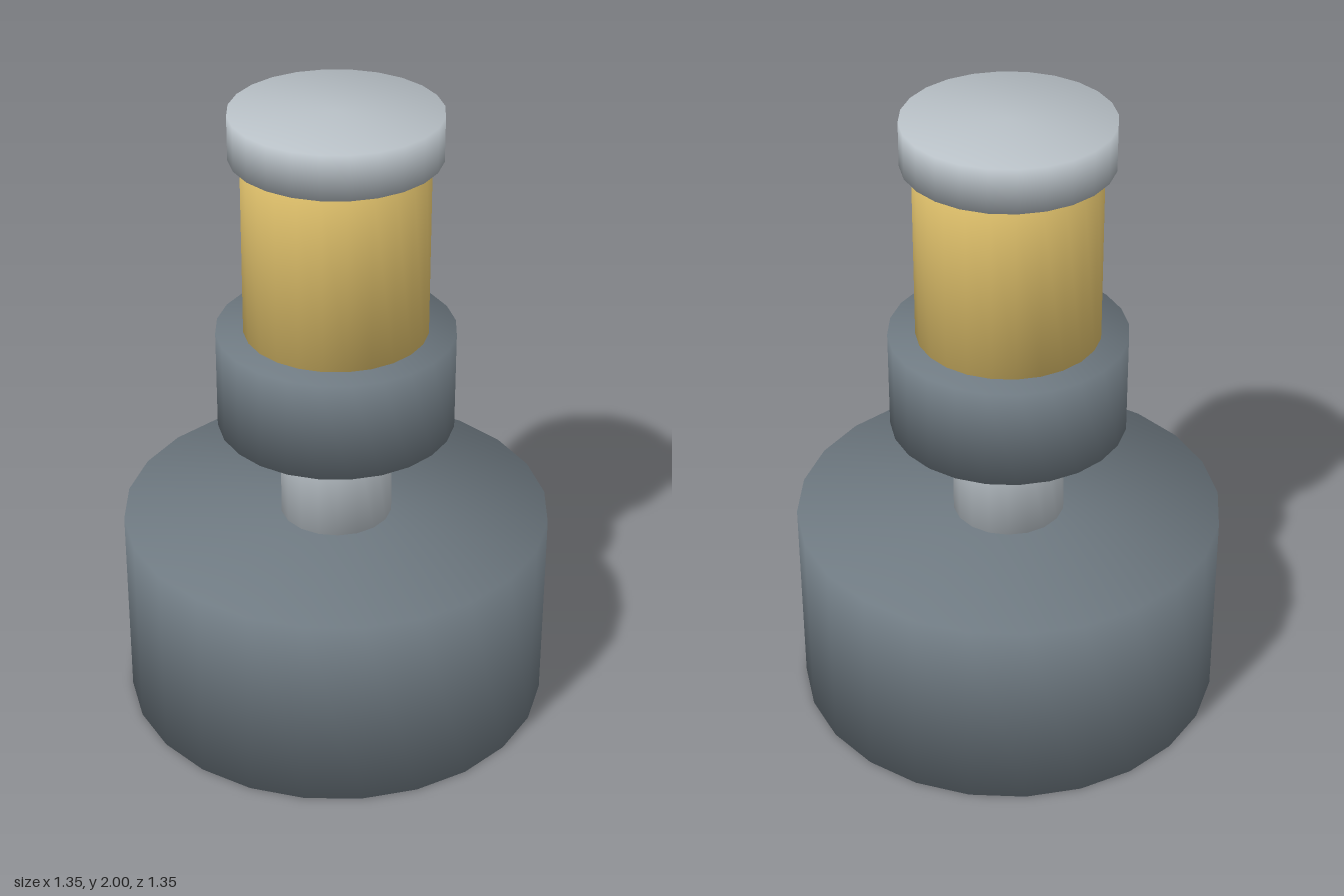
import * as THREE from 'three';

const darkSteel = new THREE.MeshStandardMaterial({ color: 0x6f7a82 });
const paleSteel = new THREE.MeshStandardMaterial({ color: 0xb8c0c6 });
const brass = new THREE.MeshStandardMaterial({ color: 0xd9bb68 });
darkSteel.name = 'dark steel';
paleSteel.name = 'pale steel';
brass.name = 'brass';

// Closed drum with normals smoothed over its rims
function drum(name, radius, bottom, top, material, sides = 24) {
  const profile = [[0, bottom], [radius, bottom], [radius, top], [0, top]]
    .map(([x, y]) => new THREE.Vector2(x, y));
  const mesh = new THREE.Mesh(new THREE.LatheGeometry(profile, sides), material);
  mesh.name = name;
  return mesh;
}

export function createModel() {
  const model = new THREE.Group();
  model.name = 'stackedDrums';
  model.add(
    drum('base', 0.675, 0, 0.645, darkSteel),
    drum('stem', 0.177, 0.645, 0.97, paleSteel, 18),
    drum('collar', 0.37, 0.97, 1.29, darkSteel),
    drum('barrel', 0.285, 1.29, 1.86, brass),
    drum('cap', 0.32, 1.86, 2, paleSteel),
  );
  return model;
}
